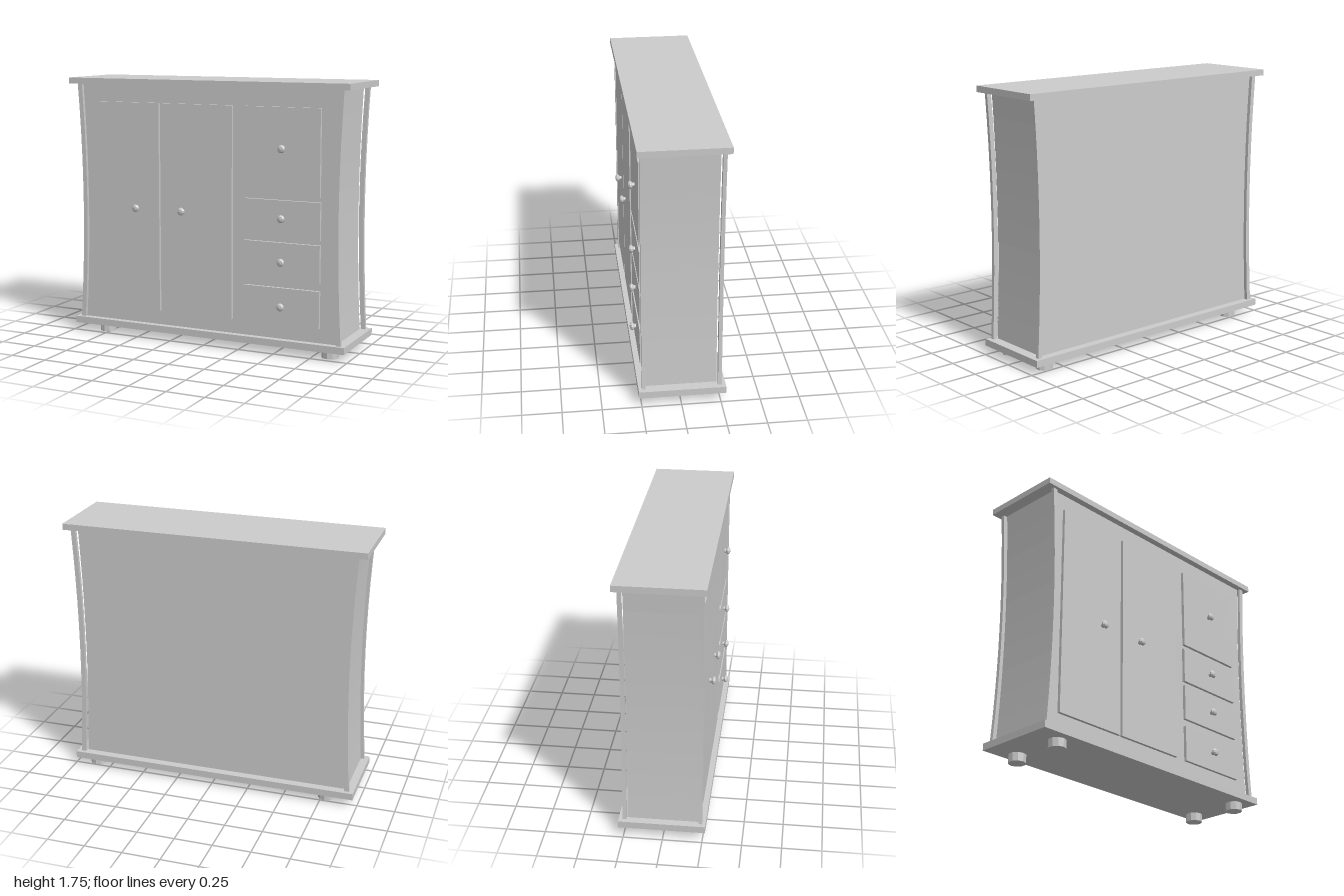
import * as THREE from 'three';

const material = new THREE.MeshStandardMaterial({ color: 0xcccccc, flatShading: true });
const BOTTOM = 0.1, TOP = 1.705, STEPS = 10;

export function createModel() {
  const cabinet = new THREE.Group();
  cabinet.name = 'cabinet';

  function add(name, geometry, x = 0, y = 0, z = 0) {
    const mesh = new THREE.Mesh(geometry, material);
    mesh.name = name;
    mesh.position.set(x, y, z);
    cabinet.add(mesh);
    return mesh;
  }

  // Box given by its limits on each axis
  function addBox(name, x0, x1, y0, y1, z0, z1) {
    return add(name, new THREE.BoxGeometry(x1 - x0, y1 - y0, z1 - z0),
      (x0 + x1) / 2, (y0 + y1) / 2, (z0 + z1) / 2);
  }

  // Upright panel whose two side edges bow towards the middle of the cabinet
  function addBowed(name, left, right, bowLeft, bowRight, z0, z1) {
    const a = [], b = [];
    for (let i = 0; i <= STEPS; i++) {
      const t = i / STEPS;
      const bow = 4 * t * (1 - t);
      const y = BOTTOM + (TOP - BOTTOM) * t;
      a.push(new THREE.Vector2(right + bowRight * bow, y));
      b.unshift(new THREE.Vector2(left + bowLeft * bow, y));
    }
    const geometry = new THREE.ExtrudeGeometry(new THREE.Shape([...a, ...b]),
      { depth: z1 - z0, bevelEnabled: false });
    return add(name, geometry, 0, 0, z0);
  }

  // Top and base boards
  addBox('topBoard', -1, 1, TOP, 1.745, -0.285, 0.267);
  addBox('baseBoard', -0.975, 0.985, 0.055, BOTTOM, -0.285, 0.267);

  // Body with waisted sides
  addBowed('body', -0.922, 0.918, 0.028, -0.022, -0.23, 0.223);

  // Curved corner strips, front and back
  for (const [end, z0, z1] of [['front', 0.222, 0.245], ['back', -0.26, -0.236]]) {
    addBowed(end + 'RightStrip', -0.945, -0.913, 0.031, 0.028, z0, z1);
    addBowed(end + 'LeftStrip', 0.925, 0.955, -0.027, -0.026, z0, z1);
  }

  // Doors and drawer fronts, each with its knob position
  const fronts = [
    ['rightDoor', -0.84, -0.33, 0.195, 1.59, -0.495, 0.887],
    ['leftDoor', -0.31, 0.2, 0.195, 1.59, -0.155, 0.887],
    ['smallDoor', 0.293, 0.803, 1.032, 1.59, 0.552, 1.33],
    ['upperDrawer', 0.288, 0.807, 0.76, 1.002, 0.552, 0.887],
    ['middleDrawer', 0.288, 0.807, 0.487, 0.73, 0.552, 0.607],
    ['lowerDrawer', 0.288, 0.807, 0.195, 0.437, 0.552, 0.317],
  ];
  const knobProfile = [[0, 0], [0.014, 0], [0.014, 0.012], [0.026, 0.024], [0.026, 0.03], [0.018, 0.039], [0, 0.043]]
    .map(([r, h]) => new THREE.Vector2(r, h));
  const knobGeometry = new THREE.LatheGeometry(knobProfile, 10).rotateX(Math.PI / 2);
  for (const [name, x0, x1, y0, y1, knobX, knobY] of fronts) {
    addBox(name, x0, x1, y0, y1, 0.215, 0.243);
    add(name + 'Knob', knobGeometry, knobX, knobY, 0.242);
  }

  // Feet
  const footGeometry = new THREE.CylinderGeometry(0.056, 0.056, 0.055, 10);
  for (const x of [-0.78, 0.857]) {
    for (const z of [0.163, -0.192]) add('foot', footGeometry, x, 0.0275, z);
  }

  return cabinet;
}
